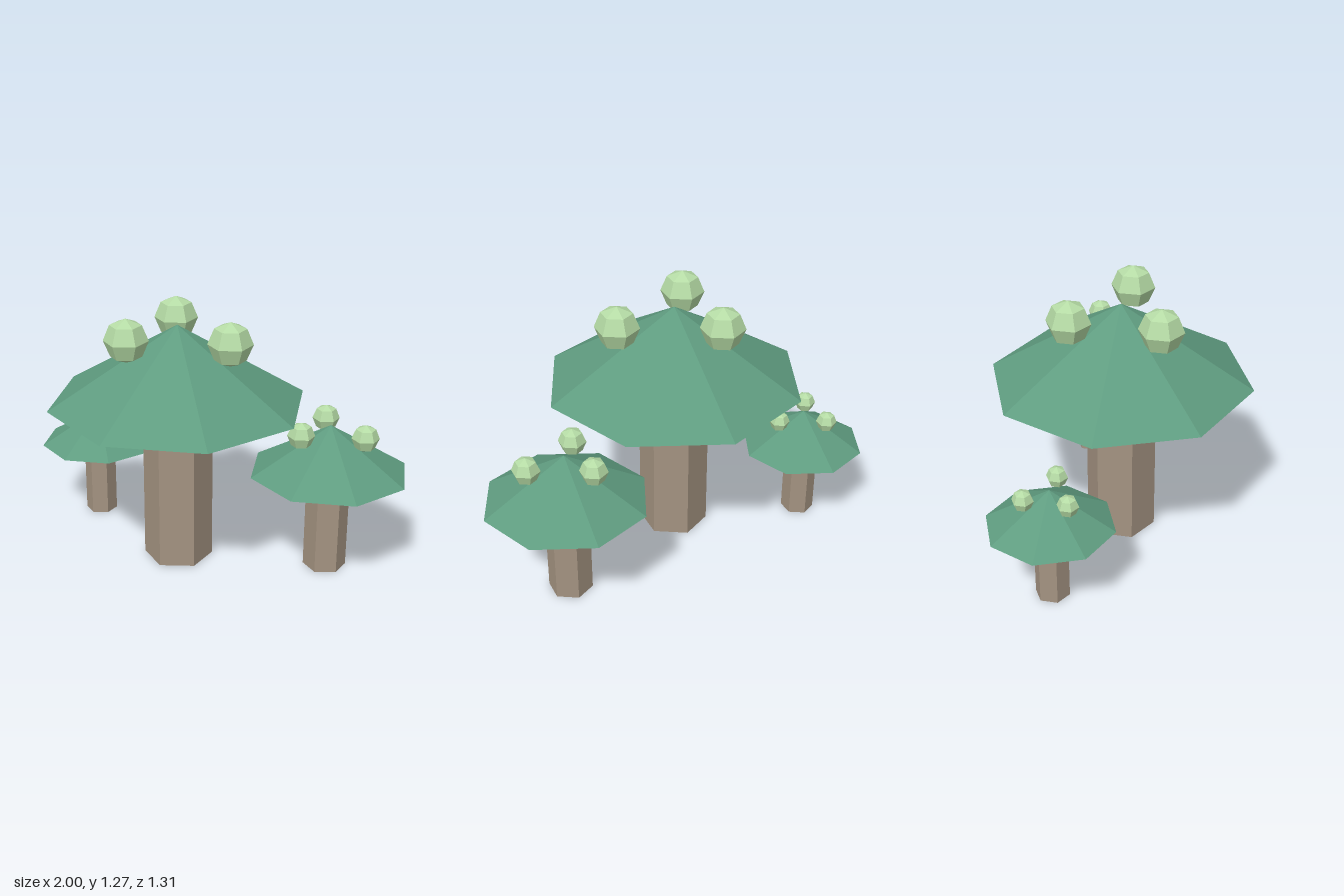
import * as THREE from 'three';

function makeMaterial(name, color) {
  const m = new THREE.MeshStandardMaterial({ color, flatShading: true });
  m.name = name;
  return m;
}

export function createModel() {
  const bark = makeMaterial('stem brown', 0xa49381);
  const green = makeMaterial('cap green', 0x5f9c80);
  const pale = makeMaterial('spot pale green', 0xb5dba5);

  // Shared parts, sized for the largest mushroom
  const stemGeo = new THREE.CylinderGeometry(0.17, 0.17, 0.82, 6).translate(0, 0.41, 0);
  const gillGeo = new THREE.CylinderGeometry(0.435, 0.435, 0.02, 8).translate(0, 0.825, 0);
  const capGeo = new THREE.ConeGeometry(0.63, 0.385, 8).translate(0, 1.0175, 0);
  const spotGeo = new THREE.SphereGeometry(0.107, 6, 4).rotateY(Math.PI / 2);
  const spots = [[0.29, 0], [-0.145, 0.213], [-0.145, -0.213]];

  function add(parent, name, geometry, material) {
    const mesh = new THREE.Mesh(geometry, material);
    mesh.name = name;
    parent.add(mesh);
    return mesh;
  }

  function mushroom(name, x, z, scale) {
    const g = new THREE.Group();
    g.name = name;
    add(g, 'stem', stemGeo, bark);
    add(g, 'gills', gillGeo, bark);
    add(g, 'cap', capGeo, green);
    // Three round spots resting on the cap
    spots.forEach(([sx, sz], i) =>
      add(g, `spot${i + 1}`, spotGeo, pale).position.set(sx, 1.166, sz));
    g.position.set(x, 0, z);
    g.scale.setScalar(scale);
    return g;
  }

  const group = new THREE.Group();
  group.name = 'mushroomCluster';
  group.add(
    mushroom('largeMushroom', -0.07, 0.025, 1),
    mushroom('mediumMushroom', 0.61, -0.264, 0.62),
    mushroom('smallMushroom', -0.698, -0.17, 0.48)
  );
  return group;
}
